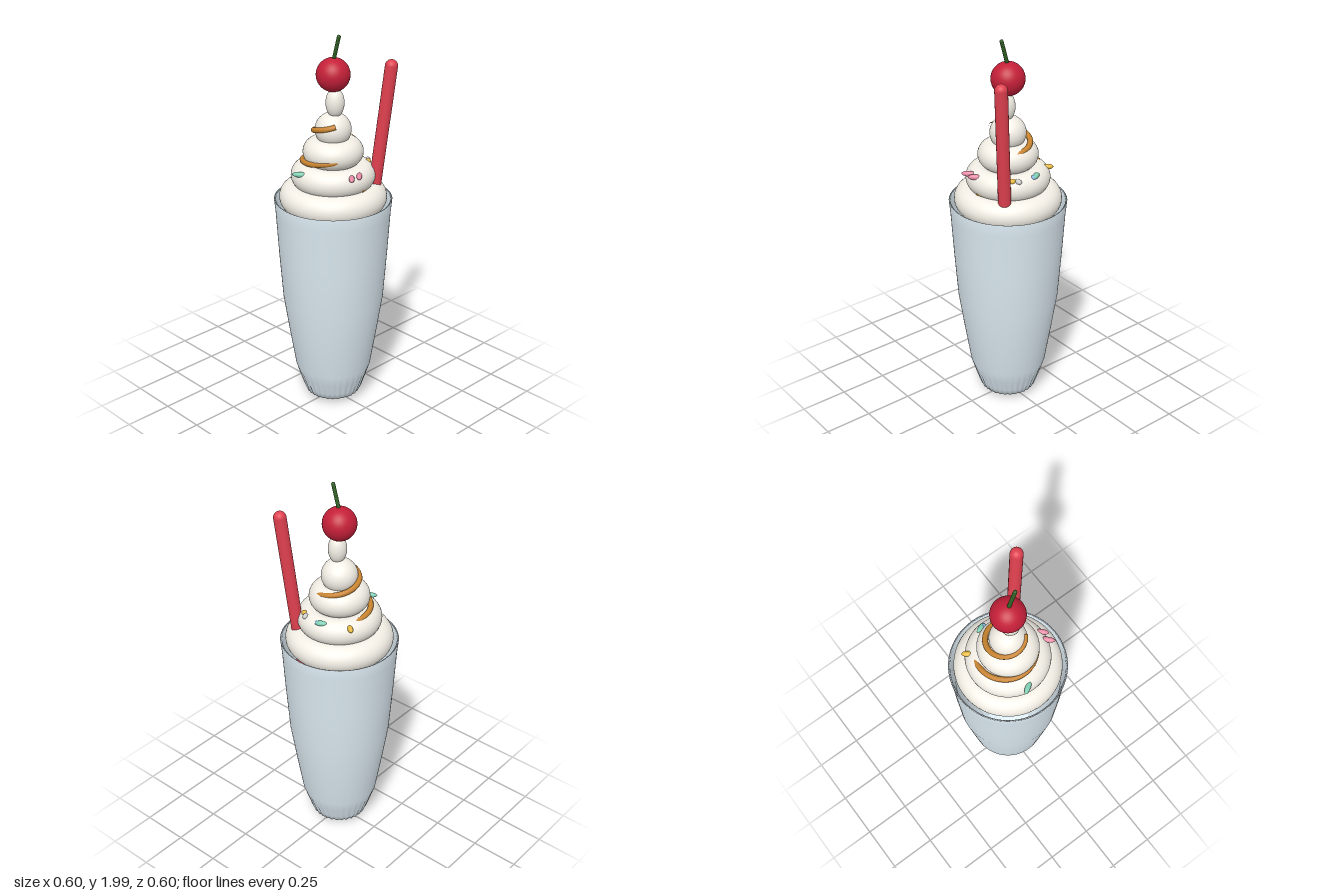
import * as THREE from 'three';

const V = (x, y, z) => new THREE.Vector3(x, y, z);

export function createModel() {
  const model = new THREE.Group();

  const add = (name, geometry, color, side = THREE.FrontSide) => {
    const mesh = new THREE.Mesh(geometry, new THREE.MeshStandardMaterial({ color, side }));
    mesh.name = name;
    model.add(mesh);
    return mesh;
  };

  // rounded rod between two points
  const rod = (name, a, b, radius, color) => {
    const dir = b.clone().sub(a);
    const mesh = add(name, new THREE.CapsuleGeometry(radius, dir.length(), 8, 20), color);
    mesh.position.copy(a).add(b).multiplyScalar(0.5);
    mesh.quaternion.setFromUnitVectors(V(0, 1, 0), dir.normalize());
    return mesh;
  };

  // tall glass with a fluted foot
  const profile = [
    [0, 0.005], [0.07, 0.018], [0.14, 0.035], [0.155, 0.07], [0.178, 0.135], [0.2, 0.2],
    [0.232, 0.4], [0.262, 0.6], [0.28, 0.85], [0.294, 1.08], [0.301, 1.15],
    [0.291, 1.145], [0.284, 1.08], [0.27, 0.95],
  ].map(([x, y]) => new THREE.Vector2(x, y));
  const glass = new THREE.LatheGeometry(profile, 128);
  const p = glass.attributes.position;
  for (let i = 0; i < p.count; i++) {
    const x = p.getX(i), y = p.getY(i), z = p.getZ(i);
    if (y >= 0.2) continue;
    const k = 1 + 0.03 * (1 - y / 0.2) * Math.cos(32 * Math.atan2(x, z));
    p.setXYZ(i, x * k, y, z * k);
  }
  glass.computeVertexNormals();
  add('glass', glass, 0xdceaf2, THREE.DoubleSide);

  // whipped cream: stacked rings, a dome and a tip
  const cream = 0xf3efe6;
  [[0.201, 0.073, 1.16], [0.145, 0.069, 1.277], [0.083, 0.07, 1.4]].forEach(([R, r, y], i) => {
    const ring = add('creamRing' + (i + 1), new THREE.TorusGeometry(R, r, 28, 72), cream);
    ring.rotation.x = Math.PI / 2;
    ring.position.y = y;
  });
  const blob = (name, y, rx, ry, x = 0, color = cream) => {
    const mesh = add(name, new THREE.SphereGeometry(1, 40, 28), color);
    mesh.scale.set(rx, ry, rx);
    mesh.position.set(x, y, 0);
  };
  blob('creamDome', 1.515, 0.092, 0.088);
  blob('creamTip', 1.655, 0.047, 0.075, 0.013);

  // caramel spiral winding up the cream, one height per quarter turn
  const heights = [1.235, 1.29, 1.34, 1.365, 1.405, 1.45, 1.49, 1.53, 1.565];
  const points = [];
  for (let i = 0; i <= 60; i++) {
    const q = (i / 60) * 7.6, n = Math.floor(q);
    const y = THREE.MathUtils.lerp(heights[n], heights[n + 1], q - n);
    const r = 0.19 - 0.0144 * q, a = q * Math.PI / 2;
    points.push(V(r * Math.cos(a), y, -r * Math.sin(a)));
  }
  add('caramel', new THREE.TubeGeometry(new THREE.CatmullRomCurve3(points), 160, 0.014, 10), 0xc9842f);

  // cherry and stem
  blob('cherry', 1.795, 0.085, 0.085, 0, 0xc41f38);
  rod('cherryStem', V(0.004, 1.87, 0), V(0.039, 1.99, 0), 0.0095, 0x2f5d22);

  // straw leaning out to the back
  rod('straw', V(0.126, 1.02, -0.14), V(0.2, 1.84, -0.2), 0.032, 0xe0404f);

  // sprinkles: x, y, z, heading in the ground plane, half length, color
  [
    [-0.03, 1.318, 0.2, 0.62, 0.04, 0x7fd0b4],
    [0.197, 1.322, 0.013, -0.8, 0.037, 0xe88ba6],
    [0.197, 1.322, 0.065, -0.8, 0.037, 0xe88ba6],
    [-0.163, 1.322, -0.113, -0.65, 0.03, 0xe8b93f],
    [-0.035, 1.332, -0.178, 0.5, 0.03, 0x7fd0b4],
    [-0.014, 1.328, -0.182, 1.3, 0.014, 0x7fb2e0],
    [0.073, 1.328, -0.172, -1.35, 0.02, 0xd0d0d0],
    [0.095, 1.33, -0.155, -0.05, 0.017, 0xe8b93f],
  ].forEach(([x, y, z, heading, half, color], i) => {
    const s = add('sprinkle' + (i + 1), new THREE.SphereGeometry(1, 16, 12), color);
    s.scale.set(half, 0.014, 0.014);
    s.rotation.y = heading;
    s.position.set(x, y, z);
  });

  return model;
}
